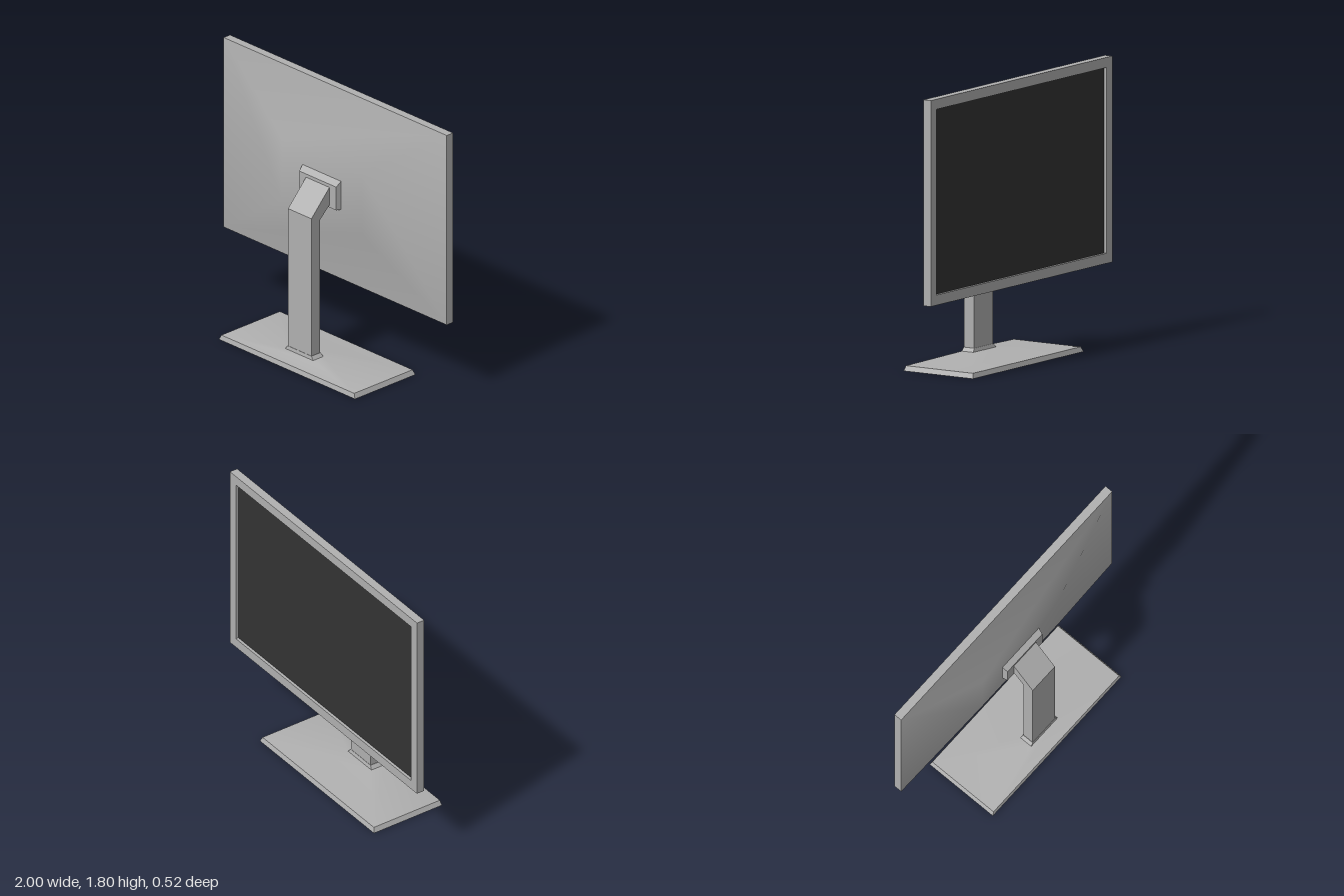
import * as THREE from 'three';

// Lofts rectangular rings [x0, x1, y0, y1, z] along +z. Smooth lofts share vertices and leave the start open.
function loft(rings, smooth = false) {
  const positions = [];
  const index = [];
  for (const [x0, x1, y0, y1, z] of rings) {
    positions.push(x0, y0, z, x1, y0, z, x1, y1, z, x0, y1, z);
  }
  const last = (rings.length - 1) * 4;
  for (let r = 0; r < last; r += 4) {
    for (let i = 0; i < 4; i++) {
      const a = r + i;
      const b = r + ((i + 1) % 4);
      index.push(a, b, b + 4, a, b + 4, a + 4);
    }
  }
  index.push(last, last + 1, last + 2, last, last + 2, last + 3);
  if (!smooth) index.push(0, 2, 1, 0, 3, 2);
  let geometry = new THREE.BufferGeometry();
  geometry.setAttribute('position', new THREE.Float32BufferAttribute(positions, 3));
  geometry.setIndex(index);
  if (!smooth) geometry = geometry.toNonIndexed();
  geometry.computeVertexNormals();
  return geometry;
}

// Upright loft; rings are [halfX, zBack, zFront, y].
function uprightLoft(rings, smooth) {
  const local = rings.map(([hx, zb, zf, y]) => [-hx, hx, -zf, -zb, y]);
  return loft(local, smooth).rotateX(-Math.PI / 2);
}

function rectangle(Type, hx, y0, y1) {
  return new Type([[-hx, y0], [hx, y0], [hx, y1], [-hx, y1]].map(([x, y]) => new THREE.Vector2(x, y)));
}

export function createModel() {
  const body = new THREE.MeshStandardMaterial({ color: 0xb0b0b0 });
  body.name = 'grey plastic';
  const glass = new THREE.MeshStandardMaterial({ color: 0x333333 });
  glass.name = 'dark screen';

  const model = new THREE.Group();
  model.name = 'monitor';
  const add = (name, geometry, material = body) => {
    const mesh = new THREE.Mesh(geometry, material);
    mesh.name = name;
    model.add(mesh);
    return mesh;
  };

  // Foot: bevelled slab, shallow sloped top and collar around the column
  add('baseSlab', uprightLoft([[0.61, -0.26, 0.26, 0], [0.595, -0.25, 0.253, 0.032]]));
  add('baseTop', uprightLoft([[0.595, -0.25, 0.253, 0.032], [0.125, 0.067, 0.155, 0.067]], true));
  add('collar', uprightLoft([[0.125, 0.067, 0.155, 0.067], [0.107, 0.073, 0.152, 0.09]]));

  // Column bending towards the panel, extruded across x from its side profile (z, y)
  const profile = [[0.15, 0.085], [0.15, 1.03], [-0.005, 1.195], [-0.005, 1.075], [0.075, 1.0], [0.075, 0.085]];
  const side = new THREE.Shape(profile.map(([z, y]) => new THREE.Vector2(-z, y)));
  const column = new THREE.ExtrudeGeometry(side, { depth: 0.21, bevelEnabled: false });
  column.translate(0, 0, -0.105).rotateY(Math.PI / 2);
  add('column', column);

  // Mounting plate
  add('mountPlate', loft([[-0.173, 0.173, 1.055, 1.25, -0.042], [-0.165, 0.165, 1.058, 1.217, -0.005]]));

  // Tapered rear housing
  add('housing', loft([[-1, 1, 0.505, 1.803, -0.155], [-0.36, 0.36, 0.94, 1.365, -0.04]], true));

  // Bezel frame with the screen set into it
  const frame = rectangle(THREE.Shape, 1, 0.505, 1.803);
  frame.holes.push(rectangle(THREE.Path, 0.936, 0.569, 1.739));
  const bezel = new THREE.ExtrudeGeometry(frame, { depth: 0.055, bevelEnabled: false });
  add('bezel', bezel.translate(0, 0, -0.21));
  add('screen', new THREE.BoxGeometry(1.872, 1.17, 0.008), glass).position.set(0, 1.154, -0.187);

  return model;
}
